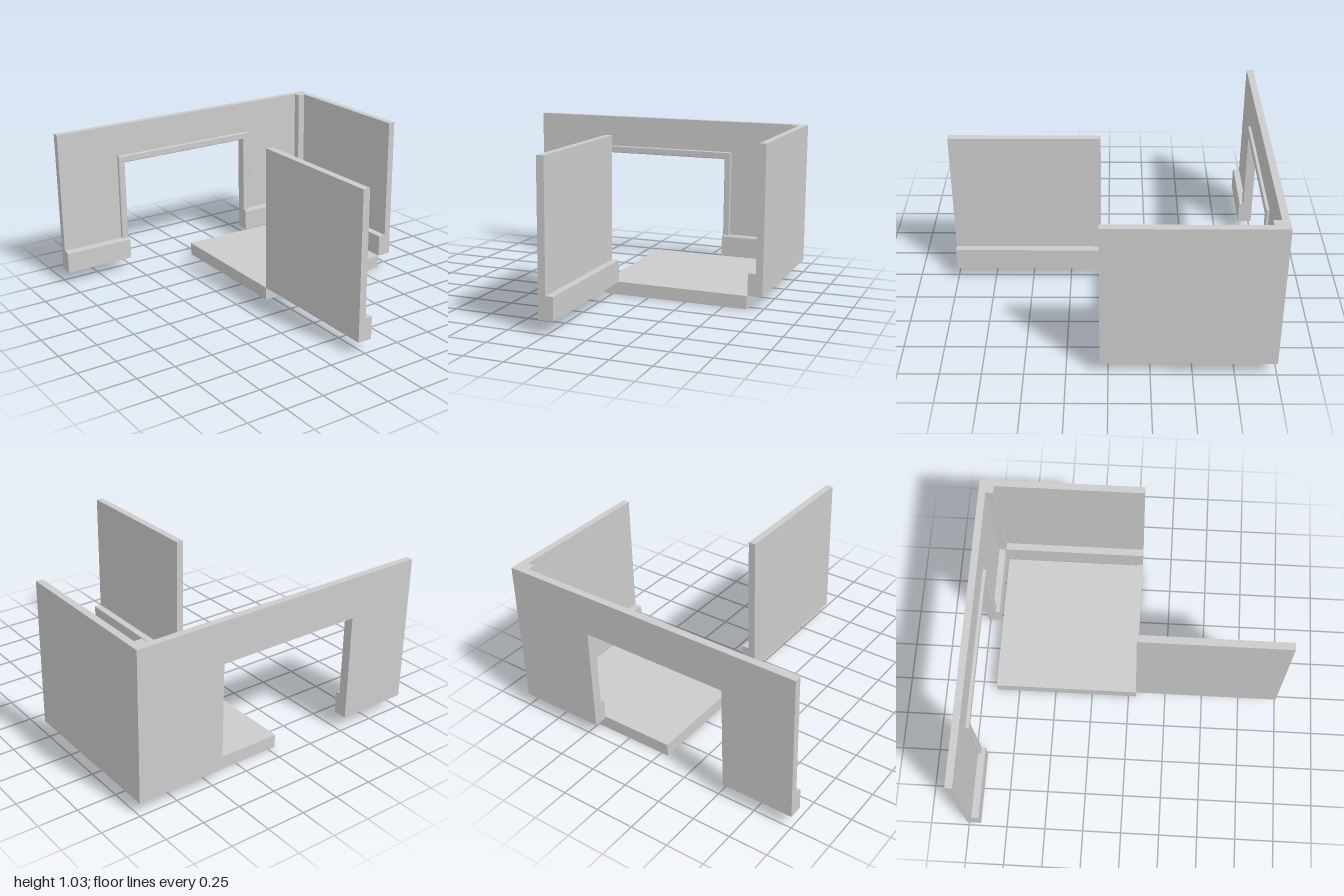
import * as THREE from 'three';

const material = new THREE.MeshStandardMaterial({ color: 0xcccccc, flatShading: true });
const BASE = 0.085, TOP = 1.035, SKIRT = 0.23;

// Polygon from [x, y] corners
const polygon = (points) => new THREE.Shape(points.map(([x, y]) => new THREE.Vector2(x, y)));

export function createModel() {
  const group = new THREE.Group();

  const add = (name, geometry) => {
    const mesh = new THREE.Mesh(geometry, material);
    mesh.name = name;
    group.add(mesh);
    return mesh;
  };

  // Box given by its limits on each axis
  const box = (name, x0, x1, y0, y1, z0, z1) => {
    const mesh = add(name, new THREE.BoxGeometry(x1 - x0, y1 - y0, z1 - z0));
    mesh.position.set((x0 + x1) / 2, (y0 + y1) / 2, (z0 + z1) / 2);
  };

  // Floor tile
  box('floor', -0.05, 0.9, 0, BASE, -0.9, 0.05);

  // Back wall with doorway, open at the bottom
  const wall = polygon([
    [-1, BASE], [-0.53, BASE], [-0.53, 0.772], [0.43, 0.772],
    [0.43, BASE], [1, BASE], [1, TOP], [-1, TOP],
  ]);
  add('backWall', new THREE.ExtrudeGeometry(wall, { depth: 0.045, bevelEnabled: false }))
    .position.z = -1;

  // Raised door frame with softened edges, its back sunk into the wall
  const frame = polygon([
    [-0.575, 0.2], [-0.53, 0.2], [-0.53, 0.772], [0.43, 0.772],
    [0.43, 0.2], [0.475, 0.2], [0.475, 0.82], [-0.575, 0.82],
  ]);
  add('doorFrame', new THREE.ExtrudeGeometry(frame, {
    depth: 0.03, bevelThickness: 0.004, bevelSize: 0.004, bevelOffset: -0.004, bevelSegments: 1,
  })).position.z = -0.969;

  // Skirting boards either side of the doorway, with a chamfered top edge
  const skirting = polygon([
    [0, BASE], [0, SKIRT], [-0.04, SKIRT], [-0.045, SKIRT - 0.01], [-0.045, BASE],
  ]);
  for (const [name, x0, x1] of [['backSkirtingRight', -1, -0.53], ['backSkirtingLeft', 0.43, 0.905]]) {
    const mesh = add(name, new THREE.ExtrudeGeometry(skirting, { depth: x1 - x0, bevelEnabled: false }));
    mesh.rotation.y = Math.PI / 2;
    mesh.position.set(x0, 0, -0.955);
  }

  // Side wall, corner post and its skirting
  box('sideWall', 0.955, 1, BASE, TOP, -0.955, 0.05);
  box('cornerPost', 0.905, 0.955, BASE, TOP, -0.955, -0.907);
  box('sideSkirting', 0.905, 0.955, BASE, SKIRT, -0.907, 0.05);

  // Free-standing partition with skirting
  box('partition', -0.05, -0.003, BASE, TOP, 0.05, 1);
  box('partitionSkirting', -0.003, 0.045, BASE, SKIRT, 0.05, 1);

  return group;
}
